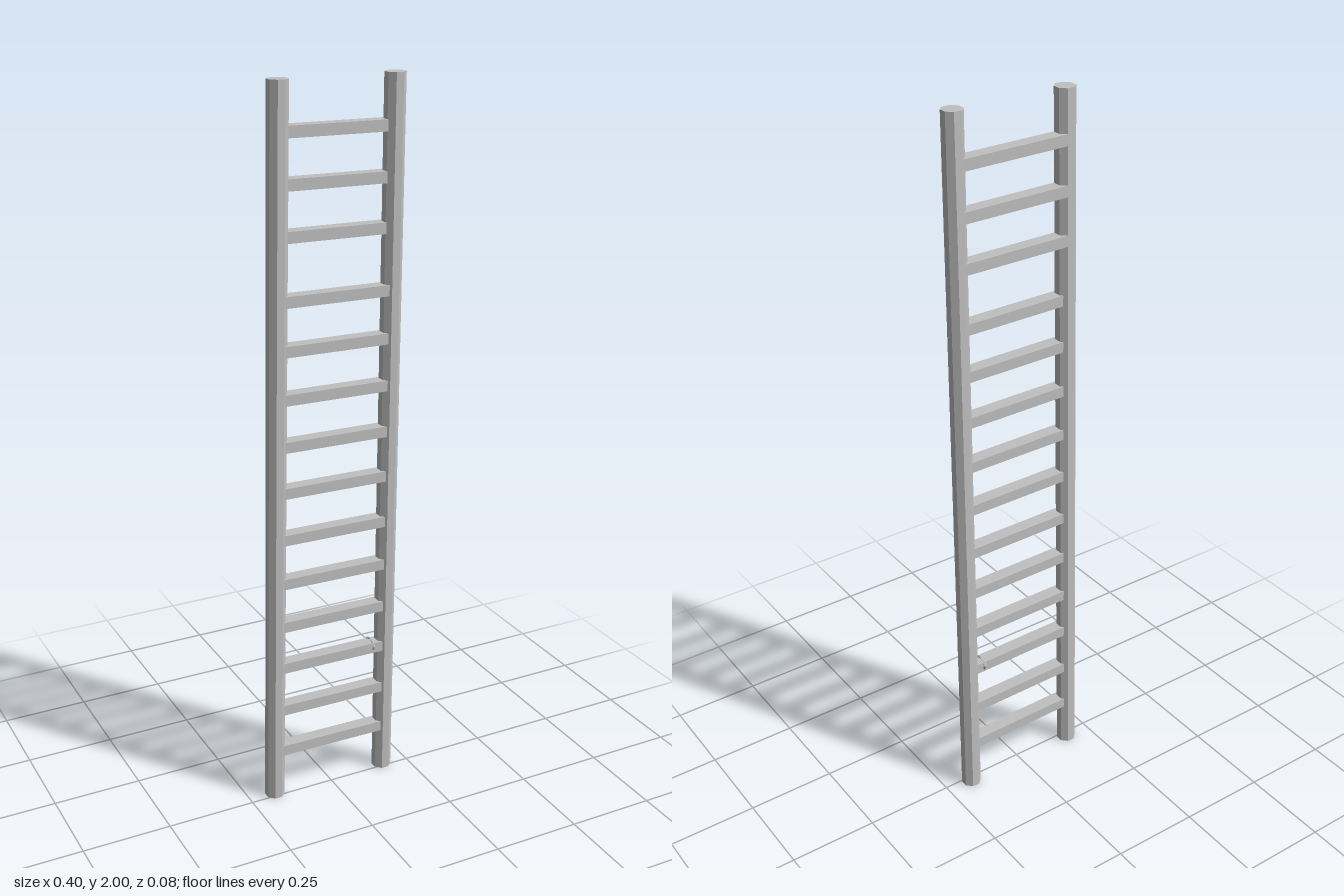
import * as THREE from 'three';

export function createModel() {
  const group = new THREE.Group();
  group.name = 'ladder';
  const grey = new THREE.MeshStandardMaterial({ color: 0xc0c0c0, flatShading: true });
  grey.name = 'grey';

  function add(geometry, name) {
    const mesh = new THREE.Mesh(geometry, grey);
    mesh.name = name;
    group.add(mesh);
    return mesh;
  }

  // Rails lean slightly and keep level ends: [x, z] of the axis at height y
  const railZ = (y) => -0.014 + 0.0125 * y;
  const rightX = (y) => -0.174 + 0.0122 * y;
  const leftX = () => 0.172;

  function rail(axisX, name) {
    const geo = new THREE.CylinderGeometry(0.0278, 0.0278, 2, 8);
    geo.rotateY(Math.PI / 8);
    geo.translate(0, 1, 0);
    const p = geo.attributes.position;
    for (let i = 0; i < p.count; i++) {
      const y = p.getY(i);
      p.setX(i, p.getX(i) + axisX(y));
      p.setZ(i, p.getZ(i) + railZ(y));
    }
    geo.computeVertexNormals();
    add(geo, name);
  }
  rail(rightX, 'rightRail');
  rail(leftX, 'leftRail');

  // Rungs: the upper three sit further back in the rails
  const heights = [0.145, 0.275, 0.408, 0.535, 0.665, 0.795, 0.93, 1.06, 1.19, 1.32, 1.45, 1.613, 1.743, 1.872];
  heights.forEach((y, i) => {
    const x0 = rightX(y) + 0.008;
    const x1 = leftX(y) - 0.008;
    const offset = i > 10 ? -0.0065 : 0.002;
    const rung = add(new THREE.BoxGeometry(x1 - x0, 0.03, 0.038), 'rung' + (i + 1));
    rung.position.set((x0 + x1) / 2, y, railZ(y) + offset);
    rung.rotation.z = -0.012;
  });

  // Small ring tied around one low rung
  const ring = add(new THREE.TorusGeometry(0.022, 0.004, 5, 8), 'rungRing');
  ring.rotation.y = Math.PI / 2;
  ring.scale.y = 0.8;
  ring.position.set(0.128, 0.411, railZ(0.411) + 0.001);

  return group;
}
